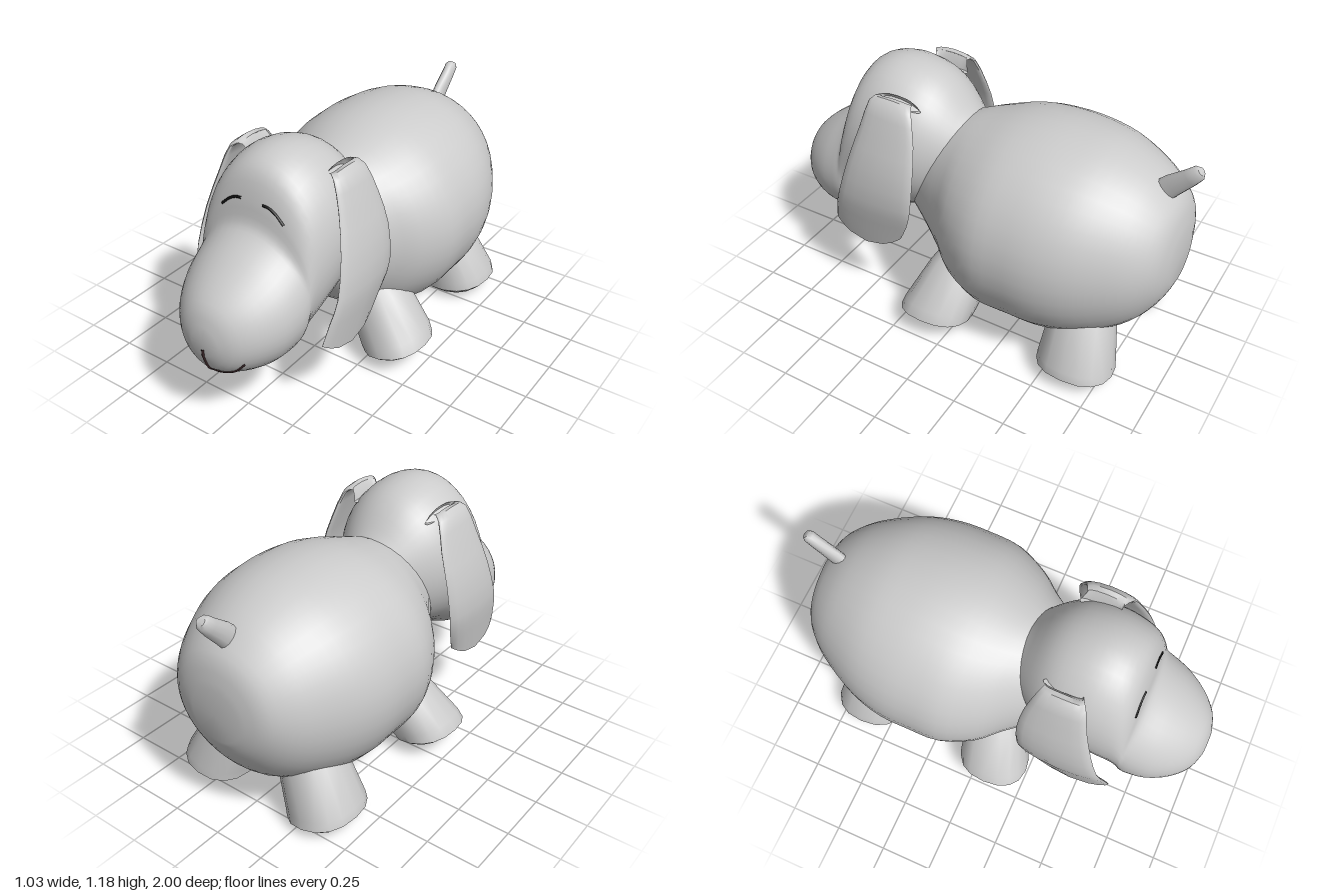
import * as THREE from 'three';
import { toCreasedNormals } from 'three/addons/utils/BufferGeometryUtils.js';

const grey = new THREE.MeshStandardMaterial({ color: 0xcccccc });
const black = new THREE.MeshStandardMaterial({ color: 0x111111 });
const brown = new THREE.MeshStandardMaterial({ color: 0x3a2628 });
const V = (x, y, z) => new THREE.Vector3(x, y, z);

// Smooth interpolation between rows of numbers, n steps per row
function refine(rows, n) {
  const out = [];
  const last = rows.length - 1;
  const at = (i) => rows[Math.min(last, Math.max(0, i))];
  for (let i = 0; i < last; i++) {
    for (let s = 0; s < n; s++) {
      const t = s / n;
      out.push(rows[i].map((p1, k) => {
        const p0 = at(i - 1)[k], p2 = at(i + 1)[k], p3 = at(i + 2)[k];
        return p1 + 0.5 * t * (p2 - p0 + t * (2 * p0 - 5 * p1 + 4 * p2 - p3 + t * (3 * (p1 - p2) + p3 - p0)));
      }));
    }
  }
  out.push(rows[last]);
  return out;
}

// Closed skin over a list of rings, capped at both ends and facing outward
function loft(name, rings, crease = 0.9, material = grey) {
  const n = rings[0].length;
  const points = rings.flat();
  const index = [];
  for (let r = 0; r < rings.length - 1; r++) {
    for (let i = 0; i < n; i++) {
      const a = r * n + i, b = r * n + (i + 1) % n;
      index.push(a, b, b + n, a, b + n, a + n);
    }
  }
  [0, rings.length - 1].forEach((r) => {
    const centre = rings[r].reduce((s, p) => s.add(p), V(0, 0, 0)).divideScalar(n);
    const c = points.push(centre) - 1;
    for (let i = 0; i < n; i++) {
      const a = r * n + i, b = r * n + (i + 1) % n;
      index.push(c, ...(r === 0 ? [b, a] : [a, b]));
    }
  });
  let volume = 0;
  for (let i = 0; i < index.length; i += 3) {
    const [a, b, c] = [0, 1, 2].map((k) => points[index[i + k]]);
    volume += a.dot(b.clone().cross(c));
  }
  if (volume < 0) index.reverse();
  const geometry = new THREE.BufferGeometry().setFromPoints(points);
  geometry.setIndex(index);
  const mesh = new THREE.Mesh(toCreasedNormals(geometry, crease), material);
  mesh.name = name;
  return mesh;
}

// Ring around a centre, spanned by two half-axes
function ring(c, u, v, n, power = 1) {
  const bend = (t) => Math.sign(t) * Math.abs(t) ** power;
  return Array.from({ length: n }, (_, i) => {
    const a = (i / n) * Math.PI * 2;
    return c.clone().addScaledVector(u, bend(Math.cos(a))).addScaledVector(v, bend(Math.sin(a)));
  });
}

// Upright ring from a row of z, top, bottom, half width
const slice = (power) => ([z, top, bottom, w]) =>
  ring(V(0, (top + bottom) / 2, z), V(w, 0, 0), V(0, (top - bottom) / 2, 0), 40, power);

const bodyRows = refine([
  [0.45, 0.72, 0.5, 0.12], [0.32, 0.84, 0.4, 0.2], [0.22, 0.92, 0.3, 0.26], [0.1, 0.975, 0.2, 0.345],
  [0, 1.01, 0.135, 0.43], [-0.15, 1.055, 0.095, 0.5], [-0.3, 1.075, 0.09, 0.508],
  [-0.45, 1.072, 0.09, 0.503], [-0.6, 1.05, 0.12, 0.465], [-0.75, 0.99, 0.19, 0.39],
  [-0.85, 0.92, 0.28, 0.32], [-0.92, 0.84, 0.39, 0.235], [-0.95, 0.72, 0.47, 0.13],
], 3);

const headRows = refine([
  [0.06, 0.95, 0.66, 0.12], [0.1, 0.985, 0.6, 0.18], [0.2, 1.1, 0.5, 0.255], [0.3, 1.16, 0.45, 0.3],
  [0.43, 1.185, 0.4, 0.315], [0.54, 1.165, 0.34, 0.31], [0.61, 1.11, 0.305, 0.3],
  [0.65, 1.0, 0.293, 0.295], [0.67, 0.905, 0.288, 0.295], [0.71, 0.86, 0.285, 0.293],
  [0.8, 0.8, 0.287, 0.272], [0.9, 0.725, 0.315, 0.215], [0.97, 0.65, 0.36, 0.14], [1, 0.56, 0.44, 0.06],
], 3);

// Point on the front of the head at a given x and y
function onHead(x, y) {
  const depth = ([, top, bottom, w]) => {
    const ry = (top - bottom) / 2;
    return 1 - Math.hypot(x / w, (y - (top + bottom) / 2) / ry);
  };
  for (let i = headRows.length - 1; i > 0; i--) {
    const a = depth(headRows[i]), b = depth(headRows[i - 1]);
    if (a >= 0) return V(x, y, headRows[i][0]);
    if (b >= 0) return V(x, y, THREE.MathUtils.lerp(headRows[i][0], headRows[i - 1][0], a / (a - b)));
  }
  return V(x, y, 0.6);
}

// Thin line laid on the face through 2D points
function faceLine(name, points, radius, material) {
  const flat = new THREE.SplineCurve(points.map(([x, y]) => new THREE.Vector2(x, y)));
  const path = new THREE.CatmullRomCurve3(flat.getPoints(14).map((p) => onHead(p.x, p.y)));
  const mesh = new THREE.Mesh(new THREE.TubeGeometry(path, 28, radius, 6), material);
  mesh.name = name;
  return mesh;
}

// Drooping ear: rows of x, front z, front y, back z, back y, sag of the middle, outward bow
function ear(s) {
  const rows = refine([
    [0.2, 0.42, 1.05, 0.24, 1.05, 0, 0], [0.225, 0.43, 1.1, 0.26, 1.1, -0.01, 0],
    [0.27, 0.46, 1.09, 0.24, 1.08, -0.01, 0.005], [0.315, 0.49, 0.97, 0.205, 0.95, 0, 0.01],
    [0.36, 0.54, 0.8, 0.19, 0.8, 0, 0.015], [0.38, 0.59, 0.63, 0.2, 0.63, 0, 0.015],
    [0.365, 0.63, 0.52, 0.235, 0.52, 0.02, 0.015], [0.345, 0.655, 0.42, 0.285, 0.42, 0.075, 0.01],
  ], 2);
  return loft(s > 0 ? 'leftEar' : 'rightEar', rows.map(([x, zf, yf, zb, yb, sag, bow]) => {
    const c = V(s * x, (yf + yb) / 2, (zf + zb) / 2);
    const r = ring(c, V(0, (yf - yb) / 2, (zf - zb) / 2), V(s * 0.016, 0, 0), 16, 0.7);
    r.forEach((p) => {
      const t = 1 - ((p.z - c.z) / ((zf - zb) / 2)) ** 2;
      p.y -= sag * t;
      p.x += s * bow * t;
    });
    return r;
  }), 0.8);
}

// Stubby leg: rows of centre x, y, z, half width, sideways tilt, half depth
function leg(name, s, rows) {
  return loft(name, rows.map(([x, y, z, w, tilt, d]) =>
    ring(V(s * x, y, z), V(s * w, tilt, 0), V(0, 0, d), 16, 0.85)), 0.75);
}

export function createModel() {
  const model = new THREE.Group();
  model.name = 'dog';
  model.add(loft('body', bodyRows.map(slice(1))), loft('head', headRows.map(slice(1)), 1.3));

  // Tail
  const tailRows = [[0.85, -0.78, 0.055], [0.95, -0.87, 0.05], [1.01, -0.935, 0.04],
    [1.045, -0.968, 0.034], [1.056, -0.978, 0.02]];
  model.add(loft('tail', tailRows.map(([y, z, r]) =>
    ring(V(0, y, z), V(Math.min(0.028, r), 0, 0), V(0, r * 0.68, r * 0.73), 12))));

  for (const s of [1, -1]) {
    const side = s > 0 ? 'left' : 'right';
    model.add(ear(s));
    model.add(leg(side + 'FrontLeg', s, [
      [0.37, 0.07, 0.08, 0.12, 0.035, 0.145], [0.37, 0.09, 0.08, 0.144, 0.04, 0.17],
      [0.345, 0.125, 0.07, 0.145, 0.055, 0.168], [0.22, 0.265, 0.03, 0.12, 0.08, 0.145],
      [0.14, 0.36, 0, 0.09, 0.07, 0.12],
    ]));
    model.add(leg(side + 'HindLeg', s, [
      [0.31, 0.025, -0.63, 0.13, 0.022, 0.15], [0.31, 0.05, -0.63, 0.16, 0.03, 0.178],
      [0.3, 0.09, -0.628, 0.16, 0.03, 0.174], [0.21, 0.28, -0.61, 0.14, 0.03, 0.145],
      [0.17, 0.36, -0.6, 0.12, 0.03, 0.13],
    ]));
    model.add(faceLine(side + 'EyeLine',
      [[s * 0.055, 0.998], [s * 0.09, 0.992], [s * 0.125, 0.972], [s * 0.16, 0.94]], 0.006, black));
  }

  // Mouth
  model.add(
    faceLine('smile', [[-0.165, 0.43], [-0.1, 0.365], [0, 0.342], [0.1, 0.365], [0.165, 0.43]], 0.006, brown),
    faceLine('lipLine', [[0, 0.475], [0, 0.41], [0, 0.342]], 0.007, brown),
  );
  return model;
}
